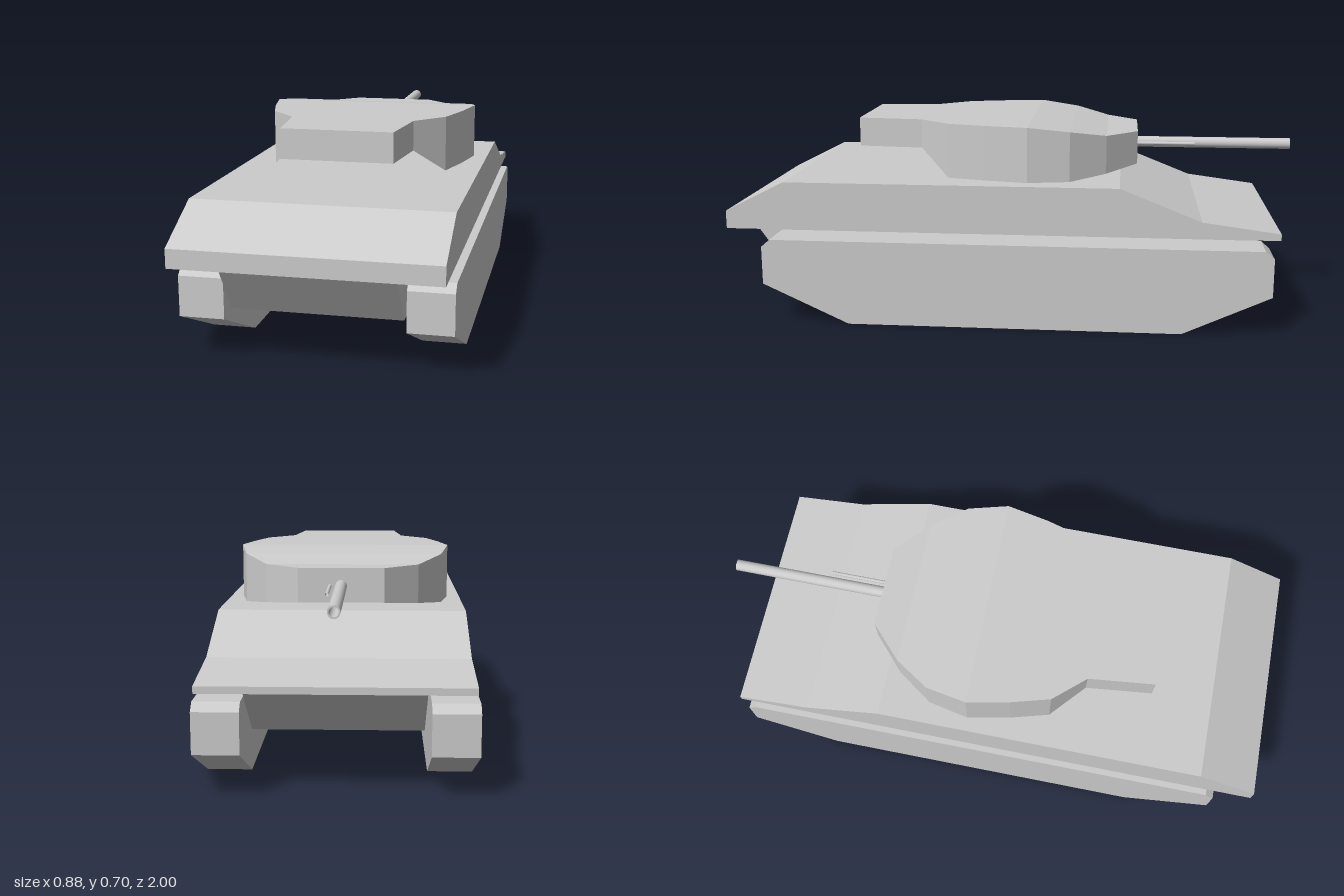
import * as THREE from 'three';

const grey = new THREE.MeshStandardMaterial({ color: 0xcccccc, flatShading: true });
const greyThin = new THREE.MeshStandardMaterial({ color: 0xcccccc, flatShading: true, side: THREE.DoubleSide });
const greySmooth = new THREE.MeshStandardMaterial({ color: 0xcccccc, side: THREE.DoubleSide });

function part(name, geometry, material = grey) {
  const mesh = new THREE.Mesh(geometry, material);
  mesh.name = name;
  return mesh;
}

// Slab with a side profile of [z, y] points, centred on x = cx
function sideSlab(profile, width, cx = 0) {
  const shape = new THREE.Shape(profile.map(([z, y]) => new THREE.Vector2(z, y)));
  const geo = new THREE.ExtrudeGeometry(shape, { depth: width, bevelEnabled: false });
  return geo.rotateY(-Math.PI / 2).translate(cx + width / 2, 0, 0);
}

// Turret shell, open underneath; stations are [z, half width, bottom y, top y]
function turretShell(stations) {
  const pos = [];
  const quad = (a, b, c, d) => pos.push(...a, ...b, ...c, ...a, ...c, ...d);
  const rings = stations.map(([z, w, b, t]) => ({
    lb: [w, b, z], lt: [w, t, z], rt: [-w, t, z], rb: [-w, b, z],
  }));
  for (let i = 0; i < rings.length - 1; i++) {
    const p = rings[i], q = rings[i + 1];
    quad(p.lb, p.lt, q.lt, q.lb);
    quad(p.rt, q.rt, q.lt, p.lt);
    quad(q.rb, q.rt, p.rt, p.rb);
  }
  const f = rings[0], r = rings[rings.length - 1];
  quad(f.rb, f.rt, f.lt, f.lb);
  quad(r.lb, r.lt, r.rt, r.rb);
  const geo = new THREE.BufferGeometry();
  geo.setAttribute('position', new THREE.Float32BufferAttribute(pos, 3));
  geo.computeVertexNormals();
  return geo;
}

// Open tube along z
function rod(radius, z0, z1, x, y) {
  return new THREE.CylinderGeometry(radius, radius, z1 - z0, 20, 1, true)
    .rotateX(Math.PI / 2).translate(x, y, (z0 + z1) / 2);
}

export function createModel() {
  const model = new THREE.Group();
  model.name = 'tank';

  // Hull
  model.add(part('upperHull', sideSlab([
    [1, 0.337], [1, 0.4], [0.79, 0.506], [-0.38, 0.506],
    [-0.66, 0.395], [-0.925, 0.36], [-0.925, 0.337],
  ], 0.856)));
  model.add(part('lowerHull', sideSlab([
    [0.96, 0.337], [-0.92, 0.337], [-0.7, 0.167], [0.84, 0.167],
  ], 0.556)));

  // Tracks
  const trackProfile = [
    [0.57, 0], [0.875, 0.14], [0.875, 0.275], [0.845, 0.301],
    [-0.875, 0.301], [-0.905, 0.275], [-0.905, 0.14], [-0.6, 0],
  ];
  for (const side of [1, -1]) {
    model.add(part(side > 0 ? 'leftTrack' : 'rightTrack', sideSlab(trackProfile, 0.149, side * 0.3665)));
  }

  // Turret
  model.add(part('turret', turretShell([
    [-0.44, 0.147, 0.542, 0.66],
    [-0.33, 0.265, 0.525, 0.66],
    [-0.205, 0.35, 0.51, 0.684],
    [-0.06, 0.38, 0.51, 0.702],
    [0.09, 0.35, 0.51, 0.702],
    [0.225, 0.312, 0.51, 0.702],
    [0.335, 0.215, 0.599, 0.702],
    [0.567, 0.19, 0.599, 0.702],
  ]), greyThin));

  // Hollow main gun with a muzzle ring
  const gun = new THREE.Group();
  gun.name = 'mainGun';
  gun.add(part('barrel', rod(0.02, -1, -0.44, 0, 0.599), greySmooth));
  gun.add(part('bore', rod(0.015, -1, -0.44, 0, 0.599), greySmooth));
  gun.add(part('muzzle', new THREE.RingGeometry(0.015, 0.02, 20)
    .rotateY(Math.PI).translate(0, 0.599, -1), greySmooth));
  model.add(gun);

  // Secondary gun beside the barrel
  model.add(part('secondaryGun', rod(0.006, -0.65, -0.44, 0.038, 0.599), greySmooth));

  return model;
}
